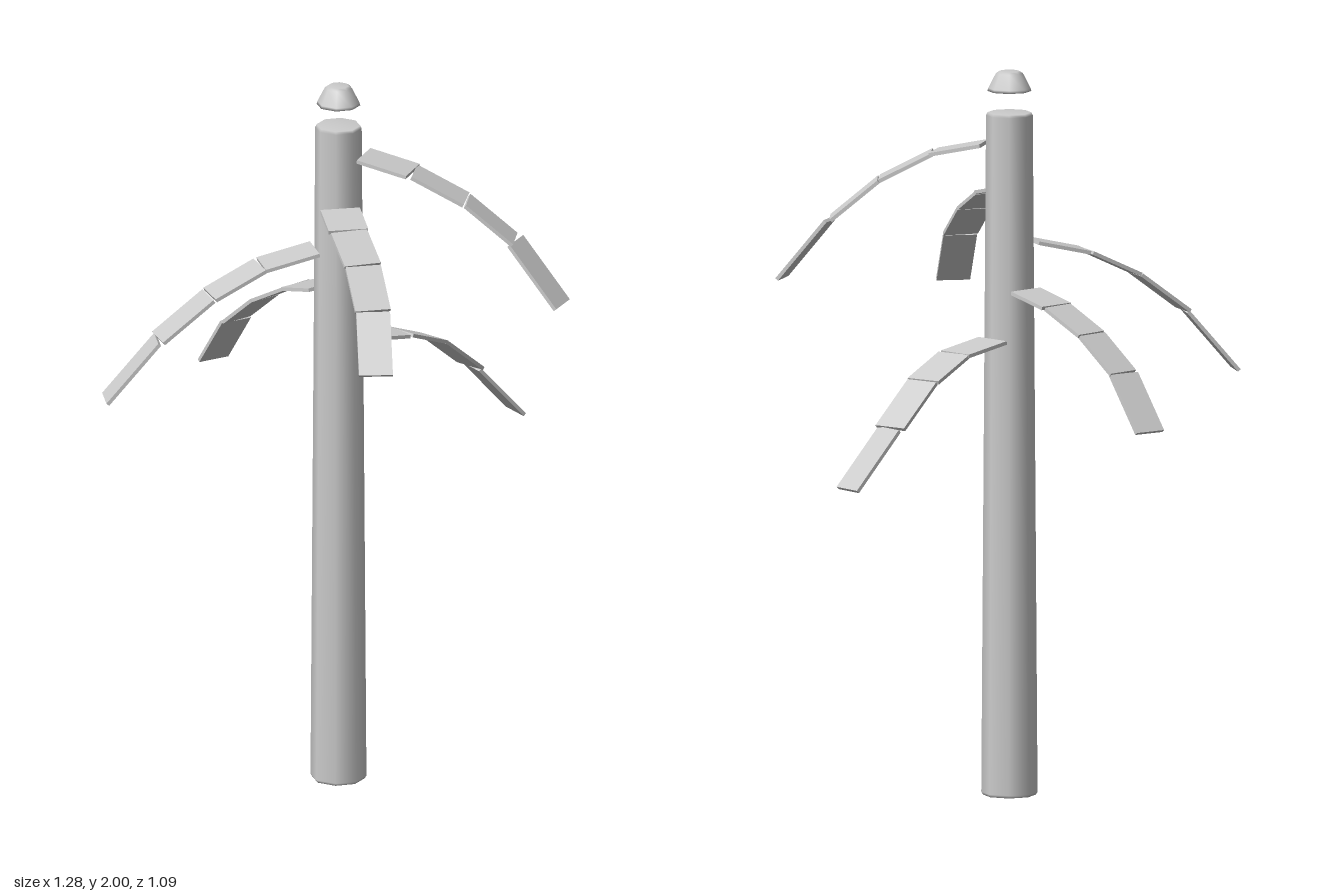
import * as THREE from 'three';

const material = new THREE.MeshStandardMaterial({ color: 0xcccccc });
const axis = { x: -0.017, z: 0.018 };

// Joints of each drooping frond, from the trunk to the tip: [x, y, z]
const fronds = {
  backFrond: [[-0.01, 1.4, -0.05], [-0.01, 1.37, -0.175], [-0.02, 1.305, -0.3], [-0.025, 1.21, -0.42], [-0.01, 1.06, -0.54]],
  rightFrond: [[-0.07, 1.53, -0.015], [-0.21, 1.495, -0.08], [-0.35, 1.425, -0.13], [-0.488, 1.315, -0.183], [-0.612, 1.145, -0.259]],
  leftFrond: [[0.052, 1.263, 0.01], [0.2, 1.24, 0.01], [0.344, 1.183, -0.014], [0.488, 1.07, -0.033], [0.632, 0.912, -0.014]],
  frontLeftFrond: [[0.03, 1.8, 0.065], [0.107, 1.77, 0.19], [0.207, 1.695, 0.298], [0.3, 1.585, 0.393], [0.366, 1.415, 0.518]],
  frontRightFrond: [[-0.055, 1.663, 0.072], [-0.11, 1.64, 0.178], [-0.152, 1.58, 0.293], [-0.206, 1.49, 0.405], [-0.276, 1.345, 0.505]],
};
const widths = [0.11, 0.104, 0.099, 0.093];

// One thin plate from a to b, its width kept level
function plate(a, b, width) {
  const mesh = new THREE.Mesh(new THREE.BoxGeometry(width, 0.01, a.distanceTo(b) - 0.004), material);
  mesh.name = 'frondSegment';
  mesh.position.copy(a).add(b).multiplyScalar(0.5);
  mesh.rotation.order = 'YXZ';
  const d = b.clone().sub(a);
  mesh.rotation.y = Math.atan2(d.x, d.z);
  mesh.rotation.x = -Math.atan2(d.y, Math.hypot(d.x, d.z));
  return mesh;
}

// Faceted turned solid, each profile corner kept sharp
function turned(name, profile, sides) {
  const geometry = new THREE.LatheGeometry(profile.map(([r, y]) => new THREE.Vector2(r, y)), sides);
  const mesh = new THREE.Mesh(geometry, material);
  mesh.name = name;
  mesh.position.set(axis.x, 0, axis.z);
  return mesh;
}

export function createModel() {
  const model = new THREE.Group();
  model.name = 'palmTree';

  // Tapered trunk with slightly eased ends
  model.add(turned('trunk', [[0, 0], [0.072, 0], [0.077, 0.008], [0.064, 1.878], [0.06, 1.886], [0, 1.886]], 8));

  // Small cap floating above the trunk
  model.add(turned('cap', [[0, 1.945], [0.06, 1.945], [0.058, 1.953], [0.037, 1.994], [0.028, 2], [0, 2]], 8));

  // Fronds of four plates each
  for (const [name, joints] of Object.entries(fronds)) {
    const frond = new THREE.Group();
    frond.name = name;
    const points = joints.map((p) => new THREE.Vector3(...p));
    widths.forEach((w, i) => frond.add(plate(points[i], points[i + 1], w)));
    model.add(frond);
  }
  return model;
}
